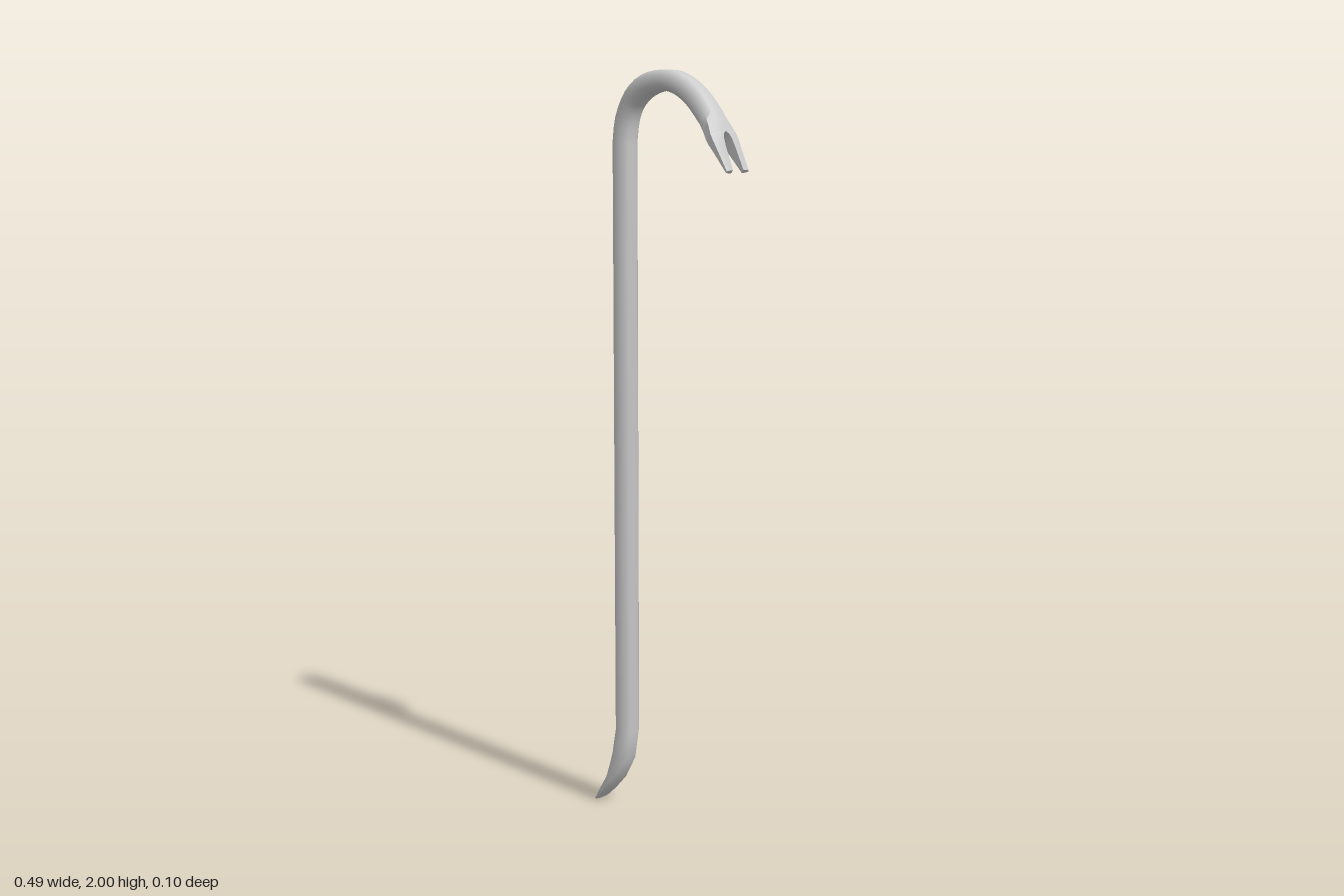
import * as THREE from 'three';
import { toCreasedNormals } from 'three/addons/utils/BufferGeometryUtils.js';

// Bar cross-section: an octagon, split at z = 0; [thickness, width] as fractions
const HALF = [[1, 0], [1, 0.52], [0.5, 1], [-0.5, 1], [-1, 0.52], [-1, 0]];
const OTHER_HALF = HALF.map(([u, z]) => [-u, -z]);
const FULL = [...HALF.slice(0, 5), ...OTHER_HALF.slice(0, 5)];

// Section: [outer x, outer y, inner x, inner y, half width, half slot]
function ring([ox, oy, ix, iy, w, slot = 0], shape, side) {
  return shape.map(([u, z]) => new THREE.Vector3(
    (ox + ix) / 2 + u * (ox - ix) / 2,
    (oy + iy) / 2 + u * (oy - iy) / 2,
    side * slot + z * (w - slot)));
}

// Skin a run of sections, capping the chosen ends
function loft(name, sections, shape, material, { side = 0, capStart = false, capEnd = false }) {
  const rings = sections.map(s => ring(s, shape, side));
  const n = shape.length;
  const pos = [];
  const tri = (...pts) => pts.forEach(p => pos.push(p.x, p.y, p.z));
  for (let k = 0; k + 1 < rings.length; k++) {
    const a = rings[k], b = rings[k + 1];
    for (let i = 0; i < n; i++) {
      const j = (i + 1) % n;
      tri(a[i], a[j], b[j]);
      tri(a[i], b[j], b[i]);
    }
  }
  const first = rings[0], last = rings[rings.length - 1];
  for (let i = 1; i + 1 < n; i++) {
    if (capStart) tri(first[0], first[i + 1], first[i]);
    if (capEnd) tri(last[0], last[i], last[i + 1]);
  }
  const geometry = new THREE.BufferGeometry();
  geometry.setAttribute('position', new THREE.Float32BufferAttribute(pos, 3));
  const mesh = new THREE.Mesh(toCreasedNormals(geometry, 1.0), material);
  mesh.name = name;
  return mesh;
}

// Smooth a list of sections by running splines through the edges and widths
function smooth(sections, steps) {
  const spline = f => new THREE.SplineCurve(sections.map(f));
  const outer = spline(s => new THREE.Vector2(s[0], s[1]));
  const inner = spline(s => new THREE.Vector2(s[2], s[3]));
  const width = spline((s, i) => new THREE.Vector2(i, s[4]));
  return Array.from({ length: steps + 1 }, (_, k) => {
    const t = k / steps, o = outer.getPoint(t), i = inner.getPoint(t);
    return [o.x, o.y, i.x, i.y, width.getPoint(t).y];
  });
}

export function createModel() {
  const group = new THREE.Group();
  group.name = 'pryBar';
  const steel = new THREE.MeshStandardMaterial({ color: 0xcccccc });

  // Chisel foot, from the tip up into the shaft
  const foot = [
    [-0.243, 0.006, -0.237, 0, 0.027],
    [-0.228, 0.03, -0.209, 0.026, 0.033],
    [-0.2, 0.085, -0.164, 0.074, 0.033],
    [-0.182, 0.15, -0.128, 0.14, 0.033],
    [-0.167, 0.23, -0.115, 0.22, 0.033],
  ];
  // Hook, from the shaft over the top to the root of the claw
  const hook = [
    [-0.167, 1.82, -0.115, 1.815, 0.033],
    [-0.157, 1.885, -0.106, 1.87, 0.033],
    [-0.125, 1.947, -0.085, 1.91, 0.033],
    [-0.07, 1.987, -0.048, 1.937, 0.033],
    [0, 2, 0, 1.948, 0.033],
    [0.06, 1.99, 0.043, 1.94, 0.033],
    [0.118, 1.957, 0.085, 1.914, 0.033],
    [0.162, 1.913, 0.125, 1.873, 0.036],
    [0.187, 1.876, 0.153, 1.842, 0.042],
    [0.2, 1.85, 0.172, 1.82, 0.049],
  ];
  // Claw prongs, opening from the rounded root of the slot
  const claw = [
    hook[hook.length - 1],
    [0.203, 1.844, 0.177, 1.814, 0.049, 0.009],
    [0.207, 1.835, 0.183, 1.807, 0.049, 0.014],
    [0.215, 1.816, 0.198, 1.791, 0.047, 0.017],
    [0.242, 1.755, 0.236, 1.748, 0.042, 0.02],
  ];

  group.add(
    loft('shaftAndHook', [...foot, ...smooth(hook, 27)], FULL, steel, { capStart: true }),
    loft('leftProng', claw, HALF, steel, { side: 1, capEnd: true }),
    loft('rightProng', claw, OTHER_HALF, steel, { side: -1, capEnd: true }),
  );
  return group;
}
